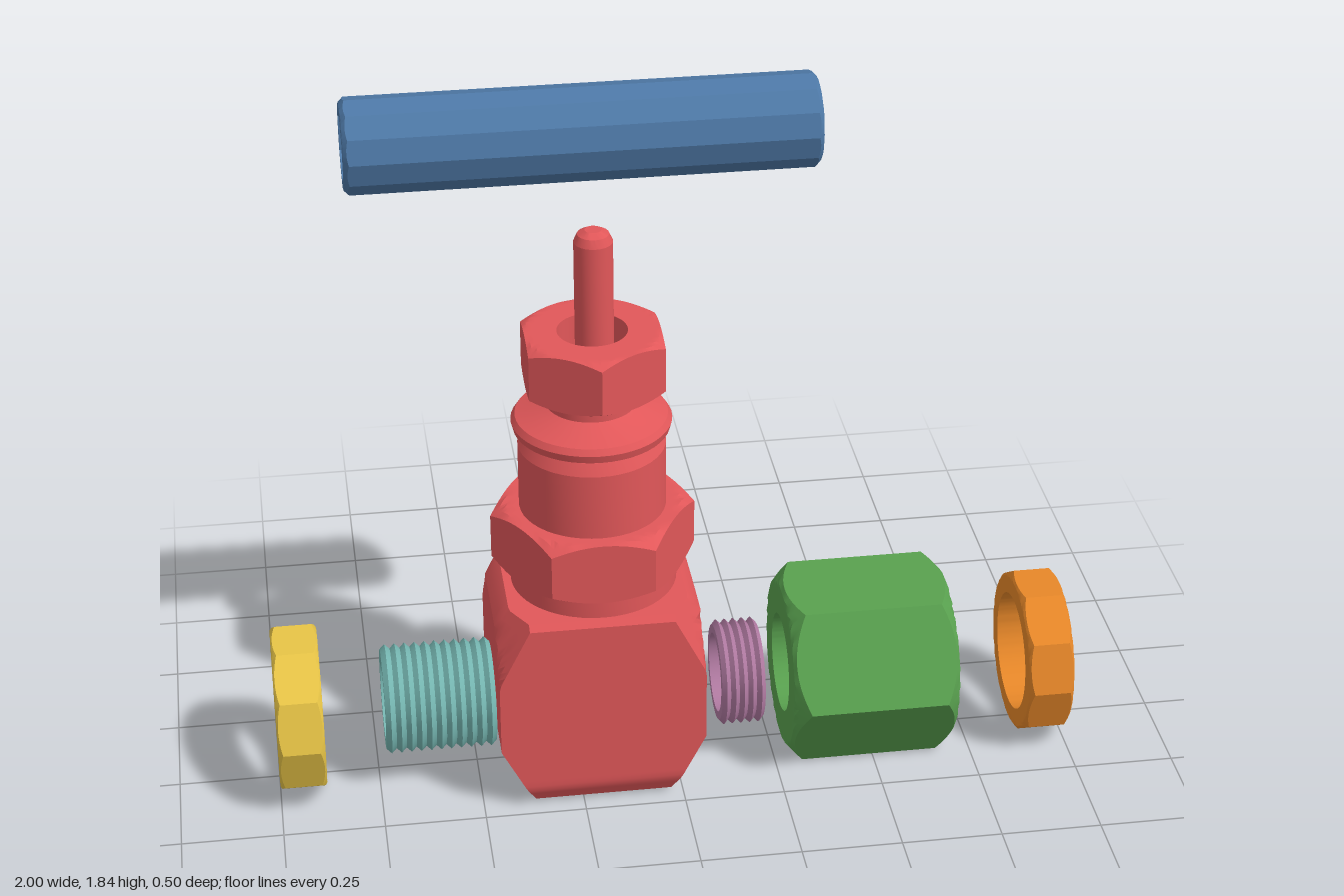
import * as THREE from 'three';
import { ParametricGeometry } from 'three/addons/geometries/ParametricGeometry.js';
import { toCreasedNormals } from 'three/addons/utils/BufferGeometryUtils.js';

const AXIS_Y = 0.215; // height of the pipe axis
const STEM_X = -0.195; // position of the upright stem axis

const mat = (name, color) => {
  const m = new THREE.MeshStandardMaterial({ color });
  m.name = name;
  return m;
};

// Radius of a regular polygon at angle a, with a corner at angle "corner"
const polygon = (n, apothem, corner = 0) => (a) => {
  const step = (2 * Math.PI) / n;
  const k = ((((a - corner) % step) + step) % step) - step / 2;
  return apothem / Math.cos(k);
};
const circle = (r) => () => r;

// Prism along x with a bore; halfLength(y, z, r) shapes both ends
function boredPrism(outer, bore, halfLength) {
  const n = 9;
  const rings = [];
  for (let i = 0; i < n; i++) rings.push([i / (n - 1), -1]);
  for (let i = n - 1; i >= 0; i--) rings.push([i / (n - 1), 1]);
  rings.push([0, -1]);
  const last = rings.length - 1;
  const geo = new ParametricGeometry((u, v, p) => {
    const a = u * 2 * Math.PI;
    const [t, side] = rings[Math.min(last, Math.max(0, Math.round(v * last)))];
    const r = THREE.MathUtils.lerp(bore(a), outer(a), t);
    const y = r * Math.cos(a), z = r * Math.sin(a);
    p.set(side * halfLength(y, z, r), y, z);
  }, 120, last);
  return toCreasedNormals(geo, 0.4);
}

// Half length of a nut whose corners are turned down beyond radius "start"
const chamfered = (half, start, slope) => (y, z, r) => half - slope * Math.max(0, r - start);

const lathe = (pts, segments = 48) =>
  toCreasedNormals(new THREE.LatheGeometry(pts.map(([r, y]) => new THREE.Vector2(r, y)), segments), 0.4);

// Hollow threaded sleeve along x
function threadedSleeve(length, radius, bore, turns) {
  const pts = [[bore, -length / 2]];
  for (let i = 0; i <= turns * 2; i++) {
    pts.push([radius - (i % 2 ? 0 : 0.012), -length / 2 + (length * i) / (turns * 2)]);
  }
  pts.push([bore, length / 2], [bore, -length / 2]);
  return lathe(pts).rotateZ(-Math.PI / 2);
}

export function createModel() {
  const red = mat('valve red', 0xe15759);
  const blue = mat('handle blue', 0x4e79a7);
  const green = mat('nut green', 0x59a14f);
  const teal = mat('thread teal', 0x76b7b2);
  const yellow = mat('ring yellow', 0xedc948);
  const orange = mat('ring orange', 0xf28e2b);
  const purple = mat('thread purple', 0xb07aa1);

  const model = new THREE.Group();
  model.name = 'explodedValve';
  const add = (parent, name, geo, material, x, y) => {
    const mesh = new THREE.Mesh(geo, material);
    mesh.name = name;
    mesh.position.set(x, y, 0);
    parent.add(mesh);
    return mesh;
  };

  // Valve body: block with cut corners, bored from side to side
  const bodyOutline = (a) => {
    const c = Math.cos(a), s = Math.abs(Math.sin(a));
    const planes = [[0, 1, 0.225], [1, 0, 0.325], [-1, 0, 0.2], [-0.555, 1, 0.311]];
    return Math.min(...planes.map(([ny, nz, d]) => {
      const k = ny * c + nz * s;
      return k > 1e-6 ? d / k : Infinity;
    }));
  };
  const bodyEnds = (y, z) => Math.min(
    0.255,
    0.17 + 0.515 * (y + 0.2),
    0.255 - 0.875 * (y - 0.285),
    0.255 - 0.085 * ((y - 0.155) / 0.17 + (Math.abs(z) - 0.08) / 0.145 - 1)
  );
  const valve = new THREE.Group();
  valve.name = 'valve';
  model.add(valve);
  add(valve, 'body', boredPrism(bodyOutline, circle(0.12), bodyEnds), red, -0.2, AXIS_Y);

  // Bonnet: turned collar, barrel, flange and neck
  add(valve, 'collar', lathe([[0, 0.53], [0.205, 0.53], [0.205, 0.6], [0, 0.6]]), red, STEM_X, 0);
  add(valve, 'bonnet', lathe([
    [0, 0.74], [0.18, 0.74], [0.18, 0.92], [0.165, 0.95], [0.155, 0.955], [0.19, 0.965],
    [0.195, 0.985], [0.185, 1.0], [0.13, 1.02], [0.11, 1.03], [0.11, 1.09], [0, 1.09],
  ]), red, STEM_X, 0);

  // Hexagonal bonnet base and packing nut, turned upright
  const upright = (geo) => geo.rotateZ(Math.PI / 2);
  add(valve, 'bonnetHex', upright(boredPrism(
    polygon(6, 0.218), circle(0.1), chamfered(0.08, 0.218, 0.7))), red, STEM_X, 0.67);
  add(valve, 'packingNut', upright(boredPrism(
    polygon(6, 0.163, Math.PI / 2), circle(0.085), chamfered(0.072, 0.163, 0.6))), red, -0.19, 1.149);

  // Stem with a rounded tip
  add(valve, 'stem', lathe([
    [0, 1.08], [0.047, 1.08], [0.047, 1.455], [0.038, 1.475], [0.02, 1.485], [0, 1.485],
  ], 24), red, -0.185, 0);

  // Handle bar: hollow tube with a hexagonal bore
  add(model, 'handle', boredPrism(
    polygon(12, 0.109), polygon(6, 0.074), chamfered(0.55, 0.1, 1)), blue, -0.21, 1.735);

  // Threaded sleeves either side of the body
  add(model, 'longSleeve', threadedSleeve(0.275, 0.137, 0.1, 11), teal, -0.593, AXIS_Y);
  add(model, 'shortSleeve', threadedSleeve(0.11, 0.133, 0.1, 5), purple, 0.167, AXIS_Y);

  // Coupling nut
  add(model, 'couplingNut', boredPrism(
    polygon(6, 0.218, Math.PI / 2), circle(0.125), chamfered(0.21, 0.21, 0.9)), green, 0.49, 0.23);

  // End rings
  const ring = () => boredPrism(
    polygon(10, 0.2, Math.PI / 2), circle(0.15), chamfered(0.058, 0.195, 0.8));
  add(model, 'rightEndRing', ring(), yellow, -0.942, 0.213);
  add(model, 'leftEndRing', ring(), orange, 0.94, 0.207);

  return model;
}
